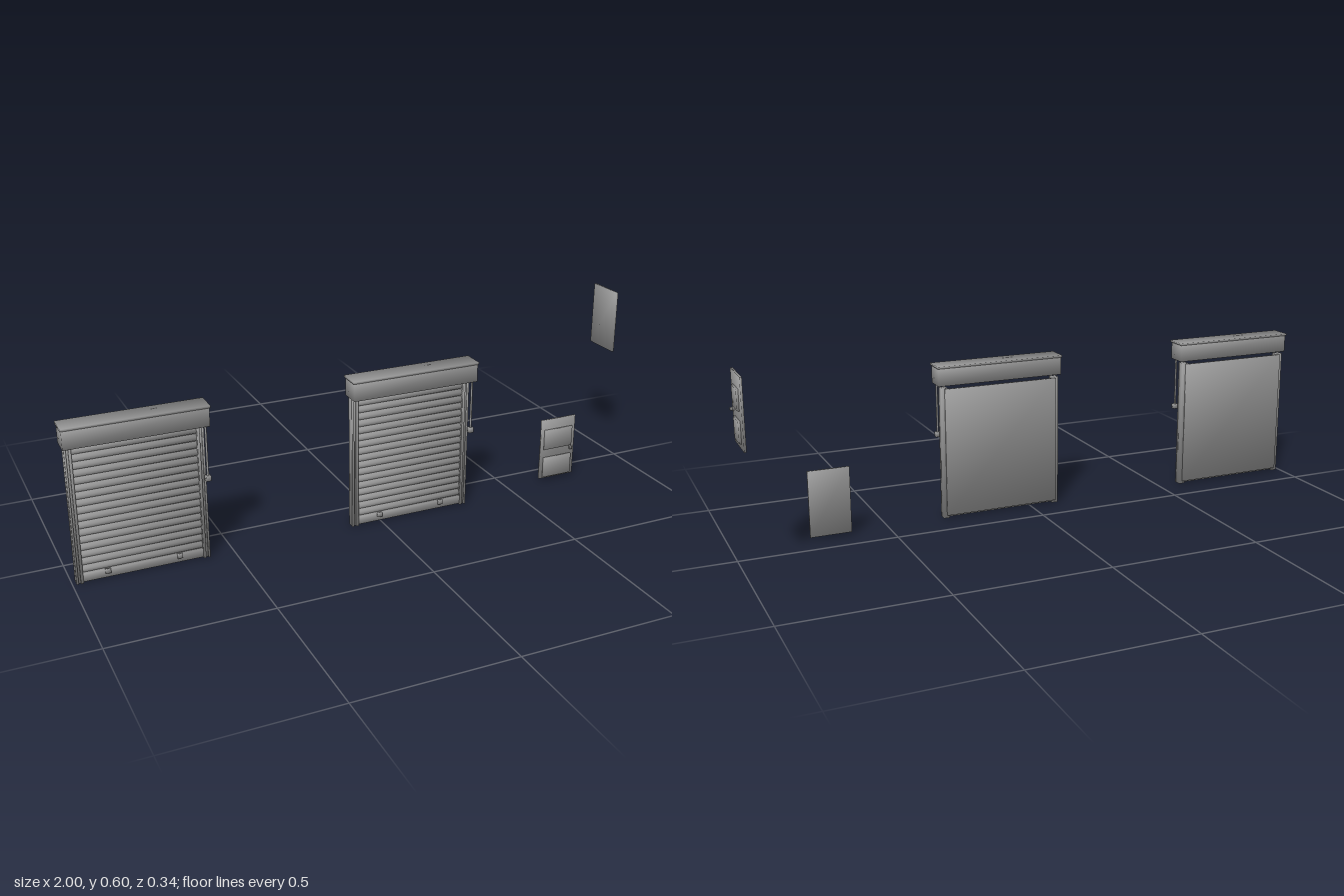
import * as THREE from 'three';
import { mergeVertices } from 'three/addons/utils/BufferGeometryUtils.js';

const grey = new THREE.MeshStandardMaterial({ color: 0x989898 });
grey.name = 'grey';

// Shares corners and averages the faces there by angle, so shading runs smoothly around them
function soften(geometry) {
  geometry.deleteAttribute('normal');
  geometry.deleteAttribute('uv');
  const merged = mergeVertices(geometry, 1e-5);
  const p = merged.attributes.position, index = merged.index;
  const normals = Array.from({ length: p.count }, () => new THREE.Vector3());
  for (let i = 0; i < index.count; i += 3) {
    const ids = [0, 1, 2].map((k) => index.getX(i + k));
    const pts = ids.map((id) => new THREE.Vector3().fromBufferAttribute(p, id));
    const face = new THREE.Triangle(...pts).getNormal(new THREE.Vector3());
    ids.forEach((id, k) => {
      const a = pts[(k + 1) % 3].clone().sub(pts[k]);
      const b = pts[(k + 2) % 3].clone().sub(pts[k]);
      normals[id].addScaledVector(face, a.angleTo(b));
    });
  }
  const flat = normals.flatMap((n) => n.normalize().toArray());
  merged.setAttribute('normal', new THREE.Float32BufferAttribute(flat, 3));
  return merged;
}

function add(parent, name, geometry) {
  const mesh = new THREE.Mesh(geometry, grey);
  mesh.name = name;
  parent.add(mesh);
  return mesh;
}

// Box given by its limits on each axis; inset shrinks the front face (+z)
function block(parent, name, x0, x1, y0, y1, z0, z1, inset = 0) {
  const w = x1 - x0, h = y1 - y0;
  const g = new THREE.BoxGeometry(w, h, z1 - z0);
  const p = g.attributes.position;
  for (let i = 0; i < p.count; i++) {
    if (p.getZ(i) > 0) {
      p.setX(i, p.getX(i) * (1 - 2 * inset / w));
      p.setY(i, p.getY(i) * (1 - 2 * inset / h));
    }
  }
  g.translate((x0 + x1) / 2, (y0 + y1) / 2, (z0 + z1) / 2);
  return add(parent, name, soften(g));
}

function createShutter(cx) {
  const shutter = new THREE.Group();
  shutter.name = 'rollerShutter';

  // Head box with overhanging lid
  block(shutter, 'headBox', -0.214, 0.214, 0.445, 0.504, 0.102, 0.168);
  block(shutter, 'headLid', -0.217, 0.217, 0.503, 0.51, 0.098, 0.171);

  // Side guides, each with a raised outer and inner lip
  for (const s of [-1, 1]) {
    const guide = new THREE.Group();
    guide.name = s < 0 ? 'rightGuide' : 'leftGuide';
    const span = (name, a, b, z0, z1) =>
      block(guide, name, Math.min(s * a, s * b), Math.max(s * a, s * b), 0, 0.438, z0, z1);
    span('guideBody', 0.184, 0.205, 0.104, 0.127);
    span('outerLip', 0.199, 0.205, 0.127, 0.132);
    span('innerLip', 0.184, 0.192, 0.127, 0.132);
    shutter.add(guide);
  }

  // Back panel and bottom bar
  block(shutter, 'backPanel', -0.194, 0.194, 0.01, 0.435, 0.098, 0.106);
  block(shutter, 'bottomBar', -0.186, 0.186, 0.004, 0.03, 0.106, 0.13);

  // Curved slats
  const count = 17, bottom = 0.03, pitch = (0.432 - bottom) / count;
  const profile = new THREE.Shape();
  profile.moveTo(0, 0);
  profile.lineTo(0.012, 0);
  profile.quadraticCurveTo(0.025, pitch * 0.46, 0.012, pitch * 0.92);
  profile.lineTo(0, pitch * 0.92);
  const slat = new THREE.ExtrudeGeometry(profile, { depth: 0.372, bevelEnabled: false, curveSegments: 6 });
  slat.rotateY(-Math.PI / 2);
  slat.translate(0.186, 0, 0.107);
  const smoothSlat = soften(slat);
  for (let i = 0; i < count; i++) {
    add(shutter, 'slat', smoothSlat).position.y = bottom + i * pitch;
  }

  // Stops on the bottom bar
  for (const s of [-1, 1]) {
    block(shutter, 'stop', s * 0.11 - 0.008, s * 0.11 + 0.008, 0.018, 0.032, 0.128, 0.136);
  }

  // Pull cord with weight
  const cord = add(shutter, 'pullCord', new THREE.CylinderGeometry(0.0035, 0.0035, 0.166, 8));
  cord.position.set(0.204, 0.363, 0.152);
  block(shutter, 'cordWeight', 0.196, 0.212, 0.267, 0.283, 0.144, 0.16);

  shutter.position.x = cx;
  return shutter;
}

// Door leaf centred on x, standing on y = 0, back at z = 0
function createDoor(name, panelHalf, rows, handleX) {
  const door = new THREE.Group();
  door.name = name;
  block(door, 'leaf', -0.0665, 0.0665, 0, 0.216, 0, 0.007);
  for (const [y0, y1] of rows) {
    block(door, 'raisedPanel', -panelHalf, panelHalf, y0, y1, 0.006, 0.0135, 0.002);
  }
  block(door, 'handlePlate', handleX - 0.0035, handleX + 0.0035, 0.093, 0.106, 0.006, 0.011);
  block(door, 'handle', handleX - 0.0025, handleX + 0.0025, 0.095, 0.104, 0.011, 0.018);
  return door;
}

export function createModel() {
  const model = new THREE.Group();
  model.name = 'shuttersAndDoors';
  model.add(createShutter(-0.783), createShutter(0.104));

  const frontDoor = createDoor('frontDoor', 0.055, [[0.004, 0.078], [0.107, 0.18]], 0.0515);
  frontDoor.position.set(0.692, 0.01, 0.08);

  // Turned to face +x
  const sideDoor = createDoor('sideDoor', 0.036, [[0.016, 0.083], [0.111, 0.176]], -0.0515);
  sideDoor.rotation.y = Math.PI / 2;
  sideDoor.position.set(0.982, 0.384, -0.1035);

  model.add(frontDoor, sideDoor);
  return model;
}
